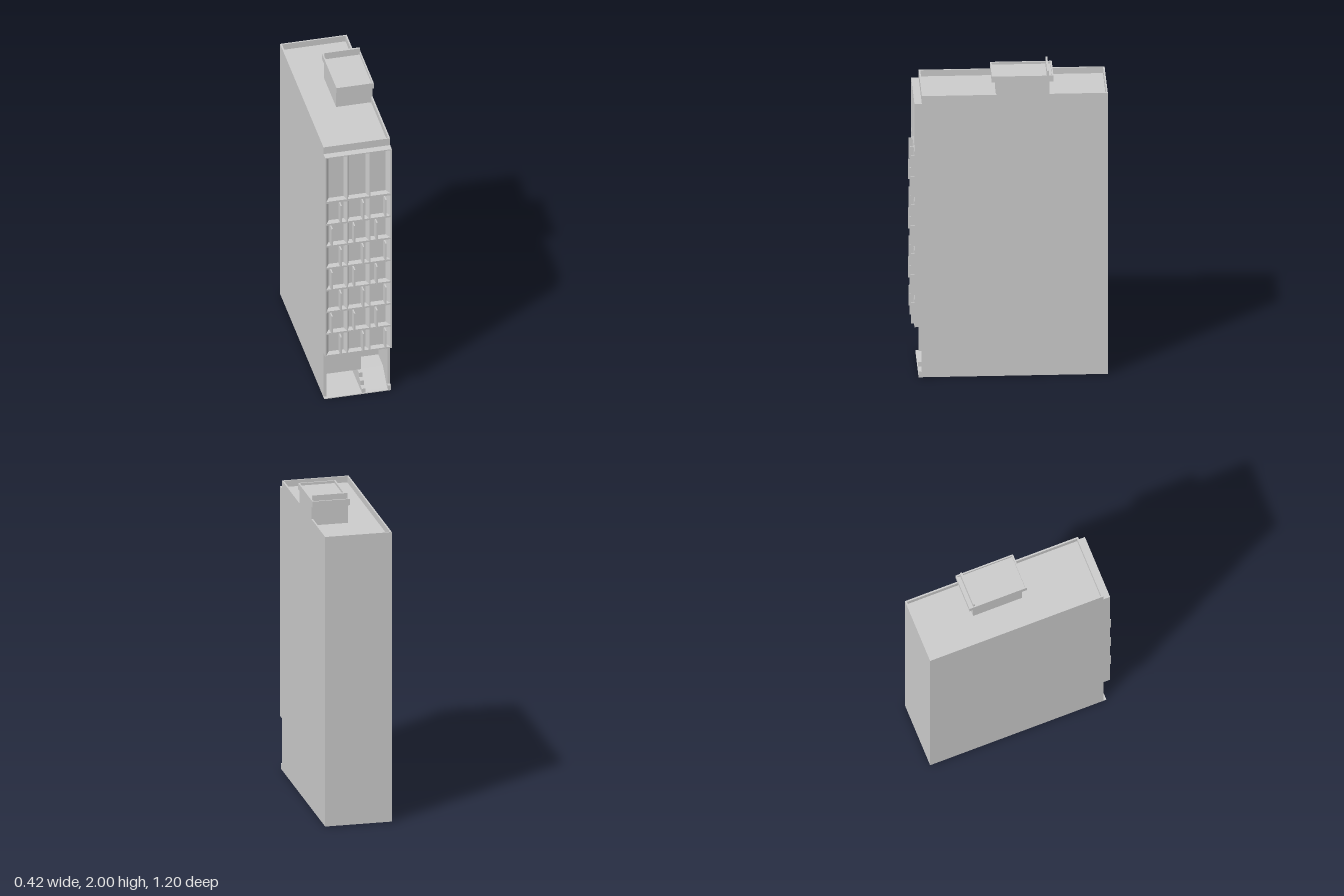
import * as THREE from 'three';

const mat = new THREE.MeshStandardMaterial({ color: 0xcccccc, flatShading: true, side: THREE.DoubleSide });

function add(parent, name, geometry) {
  const mesh = new THREE.Mesh(geometry, mat);
  mesh.name = name;
  parent.add(mesh);
  return mesh;
}

// Box given by its min and max on each axis
function box(parent, name, x0, x1, y0, y1, z0, z1) {
  const g = new THREE.BoxGeometry(x1 - x0, y1 - y0, z1 - z0);
  g.translate((x0 + x1) / 2, (y0 + y1) / 2, (z0 + z1) / 2);
  return add(parent, name, g);
}

function rect(Type, x0, x1, y0, y1) {
  const p = new Type();
  p.moveTo(x0, y0).lineTo(x1, y0).lineTo(x1, y1).lineTo(x0, y1).closePath();
  return p;
}

// Upright rectangular rim, open in the middle
function rim(parent, name, x0, x1, z0, z1, y0, y1, t) {
  const s = rect(THREE.Shape, x0, x1, -z1, -z0);
  s.holes.push(rect(THREE.Path, x0 + t, x1 - t, -z1 + t, -z0 - t));
  const g = new THREE.ExtrudeGeometry(s, { depth: y1 - y0, bevelEnabled: false });
  g.rotateX(-Math.PI / 2).translate(0, y0, 0);
  return add(parent, name, g);
}

// Tapered window reveal: front opening, smaller back pane
function reveal(o, zFront, zBack) {
  const front = [[o.x0, o.y0], [o.x1, o.y0], [o.x1, o.y1], [o.x0, o.y1]];
  const back = [[o.x0 + o.left, o.y0], [o.x1 - o.right, o.y0],
    [o.x1 - o.right, o.y1 - 0.025], [o.x0 + o.left, o.y1 - 0.025]];
  const pos = [...front.map(p => [...p, zFront]), ...back.map(p => [...p, zBack])].flat();
  const index = [4, 5, 6, 4, 6, 7];
  for (let i = 0; i < 4; i++) {
    const j = (i + 1) % 4;
    index.push(i, j, j + 4, i, j + 4, i + 4);
  }
  const g = new THREE.BufferGeometry();
  g.setAttribute('position', new THREE.Float32BufferAttribute(pos, 3));
  g.setIndex(index);
  const flat = g.toNonIndexed();
  flat.computeVertexNormals();
  return flat;
}

export function createModel() {
  const model = new THREE.Group();
  model.name = 'building';
  const W = 0.208, BACK = -0.595, WALL = 0.535, FACE = 0.58;

  // Main block, with the entrance recess left open below
  const block = new THREE.Group();
  block.name = 'mainBlock';
  model.add(block);
  box(block, 'upperBlock', -W, W, 0.33, 1.81, BACK, WALL);
  box(block, 'lowerBlock', -W, W, 0, 0.33, BACK, 0.3);
  rim(block, 'roofParapet', -W, W, BACK, WALL, 1.81, 1.85, 0.01);

  // Entrance
  const entrance = new THREE.Group();
  entrance.name = 'entrance';
  model.add(entrance);
  box(entrance, 'rightWall', -W, -0.19, 0, 0.33, 0.3, WALL);
  box(entrance, 'leftWall', 0.19, W, 0, 0.33, 0.3, WALL);
  box(entrance, 'lintel', -0.19, 0.19, 0.3, 0.33, 0.3, WALL);
  box(entrance, 'floorSlab', -W, W, 0, 0.005, 0.3, 0.555);
  box(entrance, 'hangingPanel', -0.19, 0.05, 0.1, 0.3, 0.3, 0.435);
  box(entrance, 'curb', 0.19, W, 0.005, 0.037, WALL, 0.555);

  // Ramp rising inward at the left, with a stepped edge beside it
  const side = new THREE.Shape();
  side.moveTo(0.3, 0.005).lineTo(0.53, 0.005).lineTo(0.42, 0.095).lineTo(0.3, 0.095).closePath();
  const ramp = new THREE.ExtrudeGeometry(side, { depth: 0.14, bevelEnabled: false });
  ramp.rotateY(-Math.PI / 2).scale(1, 1, 1).translate(0.19, 0, 0);
  add(entrance, 'ramp', ramp);
  for (let i = 0; i < 3; i++) {
    box(entrance, 'step', 0.028, 0.05, 0.005, 0.035 + i * 0.032, 0.3, 0.55 - i * 0.04);
  }

  // Window openings: seven rows of three, and a tall top row
  const facade = new THREE.Group();
  facade.name = 'facade';
  model.add(facade);
  const columns = [
    { x0: -0.2, x1: -0.073, left: 0.022, right: 0.01 },
    { x0: -0.067, x1: 0.067, left: 0.014, right: 0.014 },
    { x0: 0.073, x1: 0.2, left: 0.01, right: 0.022 },
  ];
  const pitch = 0.1617;
  const openings = [];
  for (const c of columns) {
    for (let r = 0; r < 7; r++) {
      const y0 = 0.34 + r * pitch;
      openings.push({ ...c, y0, y1: y0 + 0.15 });
    }
    openings.push({ ...c, y0: 1.475, y1: 1.793 });
  }

  // Facade frame pierced by the openings
  const frame = rect(THREE.Shape, -W, W, 0.33, 1.8);
  for (const o of openings) frame.holes.push(rect(THREE.Path, o.x0, o.x1, o.y0, o.y1));
  const frameGeo = new THREE.ExtrudeGeometry(frame, { depth: FACE - WALL, bevelEnabled: false });
  frameGeo.translate(0, 0, WALL);
  add(facade, 'facadeFrame', frameGeo);
  for (const o of openings) add(facade, 'windowReveal', reveal(o, FACE, WALL + 0.005));

  // Projecting fins, changing side from row to row
  for (let r = 0; r < 7; r++) {
    const y0 = 0.34 + r * pitch;
    for (const x of [-0.14, 0, 0.14]) {
      const fx = x + (r % 2 ? -0.029 : 0.027);
      box(facade, 'windowFin', fx - 0.004, fx + 0.004, y0, y0 + 0.134, WALL, 0.6);
    }
  }

  // Rooftop room with an overhanging cap and a raised rear wall
  const roofRoom = new THREE.Group();
  roofRoom.name = 'roofRoom';
  model.add(roofRoom);
  box(roofRoom, 'roomWalls', -0.02, W, 1.81, 1.93, -0.24, 0.08);
  box(roofRoom, 'capSlab', -0.025, W, 1.93, 1.955, -0.265, 0.11);
  rim(roofRoom, 'capRim', -0.025, W, -0.265, 0.11, 1.955, 1.97, 0.009);
  box(roofRoom, 'rearWall', -0.018, 0.203, 1.95, 2, -0.238, -0.226);

  return model;
}
